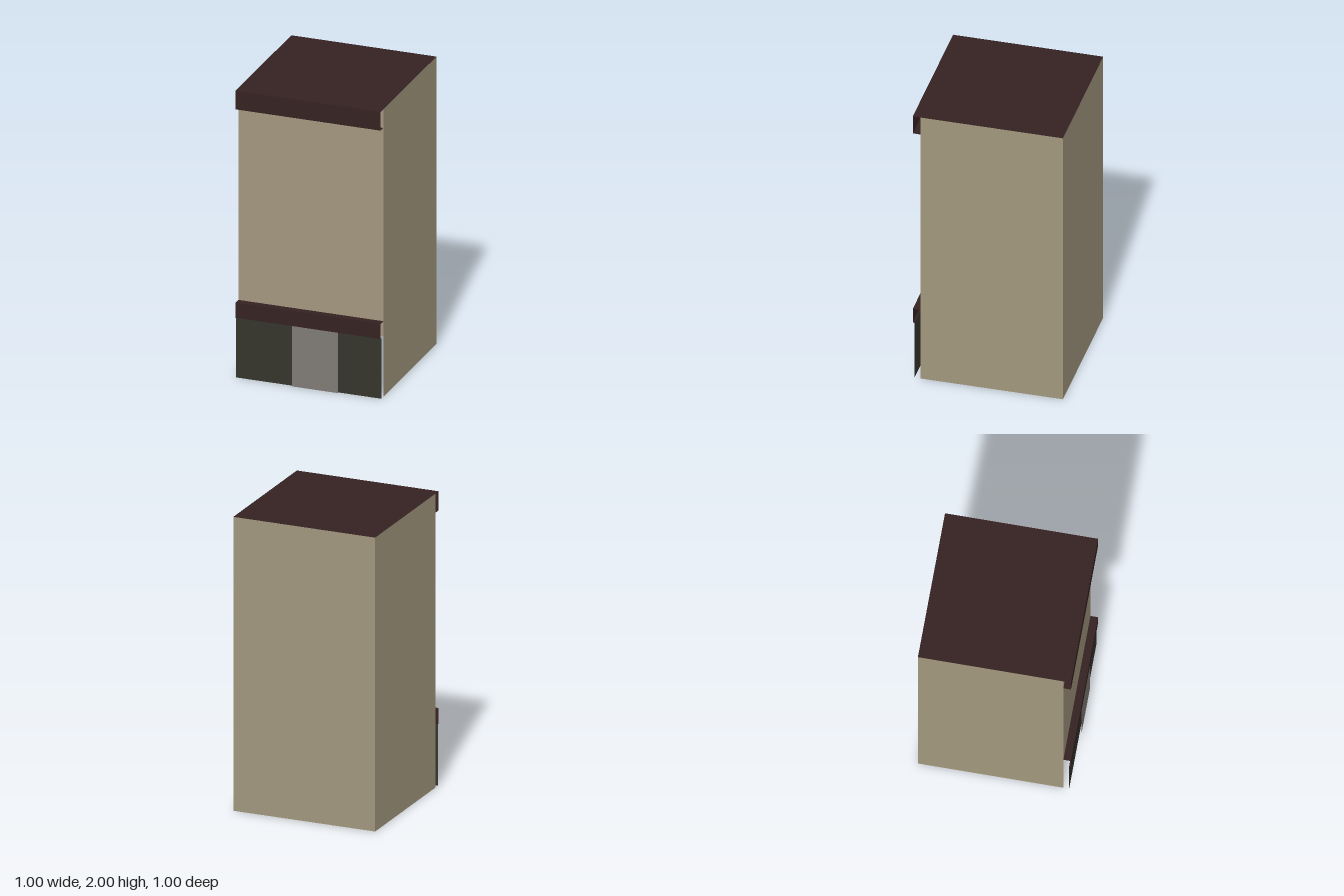
import * as THREE from 'three';

const flat = (name, color) => {
  const m = new THREE.MeshStandardMaterial({ color, side: THREE.DoubleSide });
  m.name = name;
  return m;
};

// Open sheet: a [z, y] profile swept along x, with a hard fold at every point
function sheet(name, material, profile, x0 = -0.5, x1 = 0.5) {
  const pos = [];
  for (let i = 0; i < profile.length - 1; i++) {
    const [z0, y0] = profile[i];
    const [z1, y1] = profile[i + 1];
    pos.push(x0, y0, z0, x1, y0, z0, x1, y1, z1);
    pos.push(x0, y0, z0, x1, y1, z1, x0, y1, z1);
  }
  const geo = new THREE.BufferGeometry();
  geo.setAttribute('position', new THREE.Float32BufferAttribute(pos, 3));
  geo.computeVertexNormals();
  const mesh = new THREE.Mesh(geo, material);
  mesh.name = name;
  return mesh;
}

export function createModel() {
  const wall = flat('tan wall', 0xa2977e);
  const trim = flat('dark brown trim', 0x352222);
  const shop = flat('dark shopfront', 0x35342c);
  const doorGrey = flat('grey door', 0x7f7a74);

  const group = new THREE.Group();
  group.name = 'building';

  // Walls: the front starts above the shop, the other three reach the ground
  group.add(sheet('frontWall', wall, [[0.45, 0.525], [0.45, 2]]));
  group.add(sheet('backWall', wall, [[-0.5, 2], [-0.5, 0]]));
  for (const side of [1, -1]) {
    const geo = new THREE.PlaneGeometry(0.95, 2).rotateY(side * Math.PI / 2);
    const mesh = new THREE.Mesh(geo, wall);
    mesh.name = side > 0 ? 'leftWall' : 'rightWall';
    mesh.position.set(side * 0.5, 1, -0.025);
    group.add(mesh);
  }

  // Roof folded down into the front cornice, open at the ends
  group.add(sheet('roofAndCornice', trim, [[0.45, 1.87], [0.5, 1.87], [0.5, 2], [-0.5, 2]]));

  // Ledge over the shop, open at the back
  group.add(sheet('shopLedge', trim, [[0.488, 0.42], [0.5, 0.42], [0.5, 0.525], [0.45, 0.525]]));

  // Shopfront with a door panel just in front of it
  group.add(sheet('shopfront', shop, [[0.488, 0], [0.488, 0.42]]));
  group.add(sheet('door', doorGrey, [[0.5, 0], [0.5, 0.42]], -0.11, 0.205));

  return group;
}
